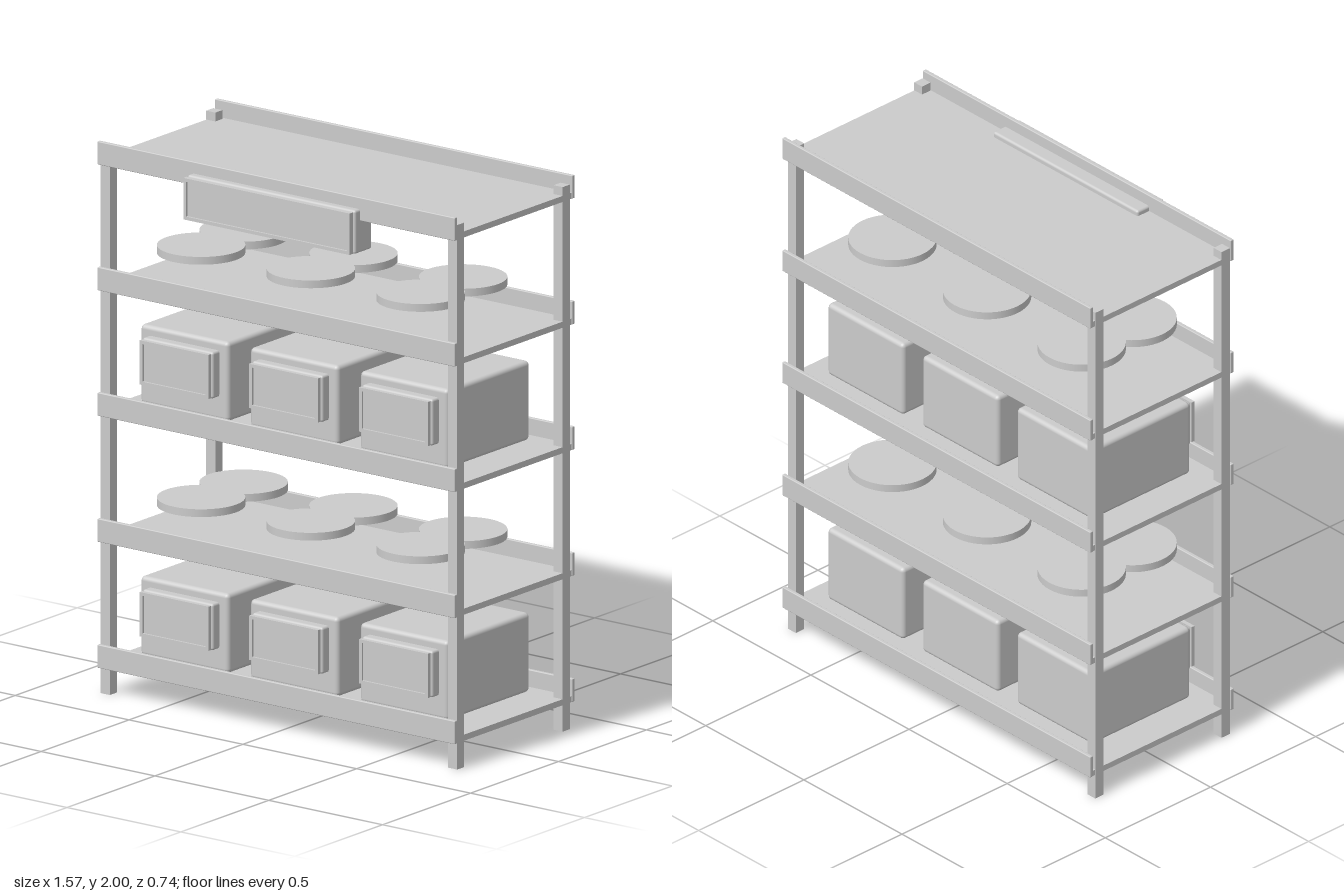
import * as THREE from 'three';
import { RoundedBoxGeometry } from 'three/addons/geometries/RoundedBoxGeometry.js';

export function createModel() {
  const model = new THREE.Group();
  model.name = 'shelfRack';
  const grey = new THREE.MeshStandardMaterial({ color: 0xcccccc });
  grey.name = 'light grey';

  function add(geometry, name, x, y, z, parent = model) {
    const mesh = new THREE.Mesh(geometry, grey);
    mesh.name = name;
    mesh.position.set(x, y, z);
    parent.add(mesh);
    return mesh;
  }

  // box given by its low and high limits, optionally rounded
  function block(name, [x0, x1], [y0, y1], [z0, z1], radius = 0, parent = model) {
    const size = [x1 - x0, y1 - y0, z1 - z0];
    const geometry = radius
      ? new RoundedBoxGeometry(...size, 3, radius)
      : new THREE.BoxGeometry(...size);
    return add(geometry, name, (x0 + x1) / 2, (y0 + y1) / 2, (z0 + z1) / 2, parent);
  }

  // rectangular frame, open in the middle
  function frameGeometry(w, h, border, depth) {
    const rect = (path, a, b) => path
      .moveTo(-a, -b).lineTo(a, -b).lineTo(a, b).lineTo(-a, b).closePath();
    const shape = rect(new THREE.Shape(), w / 2, h / 2);
    shape.holes.push(rect(new THREE.Path(), w / 2 - border, h / 2 - border));
    return new THREE.ExtrudeGeometry(shape, { depth, bevelEnabled: false });
  }

  // sign: rounded body, slim neck and a front frame round a recessed panel
  function sign(name, x, y, w, h, zBack, zBody, zFront) {
    const group = new THREE.Group();
    group.name = name;
    group.position.set(x, y, 0);
    model.add(group);
    const span = (s, inset) => [-s / 2 + inset, s / 2 - inset];
    const lip = (zFront - zBody) * 0.75;
    block('signBody', span(w, 0), span(h, 0), [zBack, zBody], 0.009, group);
    block('signPanel', span(w, 0.012), span(h, 0.012), [zBody - 0.005, zFront - 0.008], 0, group);
    add(frameGeometry(w - 0.008, h - 0.008, 0.012, lip), 'signFrame', 0, 0, zFront - lip, group);
  }

  // four corner posts
  for (const side of [-1, 1]) {
    for (const z of [0.275, -0.325]) {
      add(new THREE.BoxGeometry(0.04, 1.97, 0.04), 'post', side * 0.763, 0.985, z);
    }
  }

  // five shelves, each with a raised lip at front and back
  const shelfBottoms = [0.095, 0.551, 1.007, 1.461, 1.916];
  for (const y of shelfBottoms) {
    block('shelf', [-0.782, 0.782], [y, y + 0.022], [-0.36, 0.299]);
    block('frontLip', [-0.785, 0.785], [y, y + 0.084], [0.297, 0.312], 0.003);
    block('backLip', [-0.785, 0.785], [y, y + 0.084], [-0.371, -0.357], 0.003);
  }

  // crates with label holders on the first and third shelves
  for (const y of [0.135, 1.046]) {
    for (const x of [-0.484, -0.003, 0.48]) {
      block('crate', [x - 0.194, x + 0.194], [y, y + 0.288], [-0.262, 0.208], 0.016);
      sign('crateLabel', x, y + 0.17, 0.31, 0.168, 0.2, 0.245, 0.265);
    }
  }

  // overlapping pairs of discs above the second and fourth shelves
  for (const y of [0.706, 1.619]) {
    for (const x of [-0.484, -0.002, 0.48]) {
      for (const z of [0.111, -0.131]) {
        add(new THREE.CylinderGeometry(0.154, 0.154, 0.028, 48), 'disc', x, y, z);
      }
    }
  }

  // long header sign on the top shelf
  sign('headerSign', 0, 1.879, 0.738, 0.158, 0.242, 0.34, 0.366);

  return model;
}
